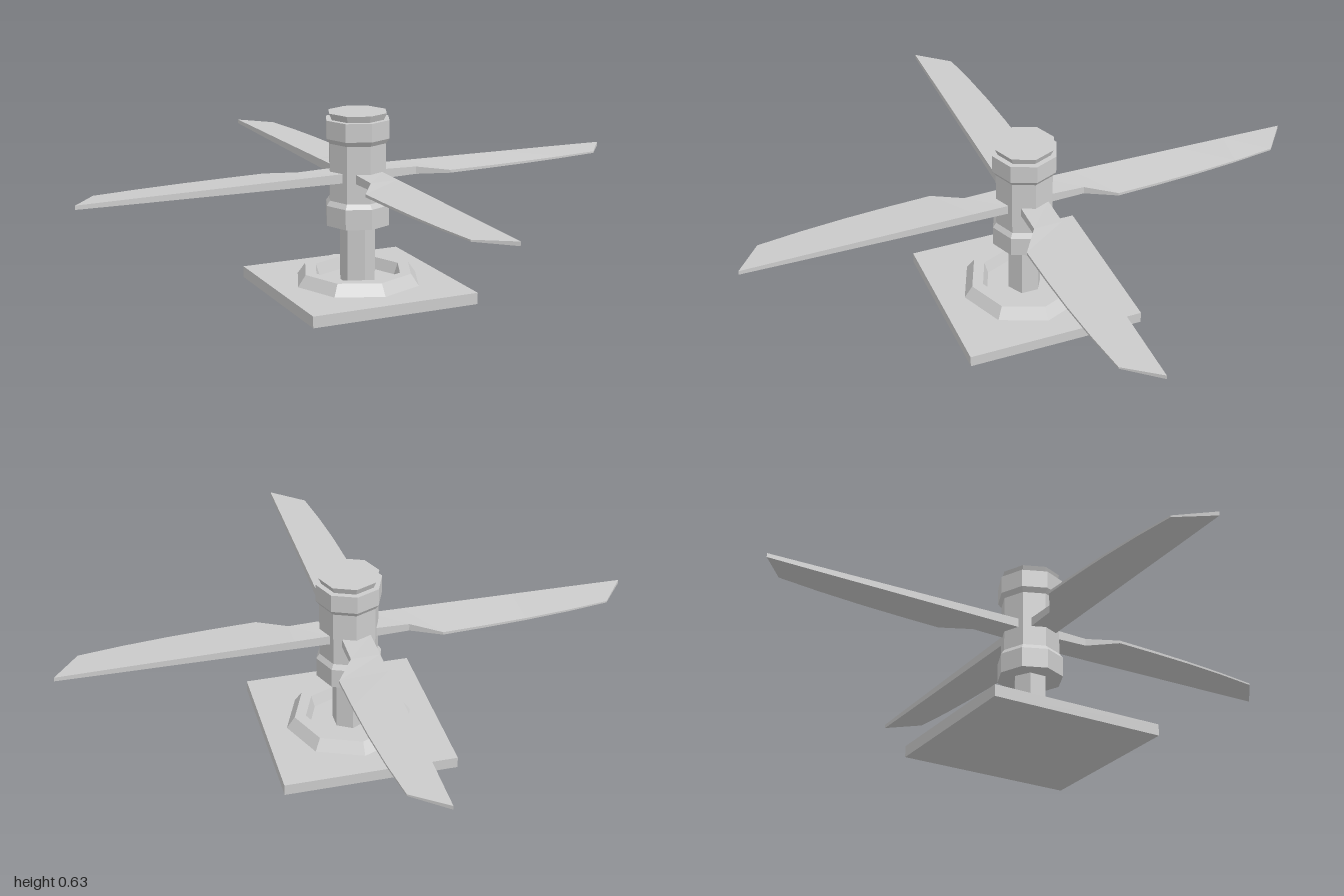
import * as THREE from 'three';

const material = new THREE.MeshStandardMaterial({ color: 0xcccccc, flatShading: true });

function part(name, geometry, y = 0) {
  const mesh = new THREE.Mesh(geometry, material);
  mesh.name = name;
  mesh.position.y = y;
  return mesh;
}

// Faceted solid of revolution from [radius, height] pairs, bottom to top
function turned(profile, sides) {
  return new THREE.LatheGeometry(profile.map(([r, y]) => new THREE.Vector2(r, y)), sides);
}

// Blade along +x: thick straight edge at the back, thin curved edge in front.
// Each station: [x back, z back, thickness back, x front, z front, thickness front]
function bladeGeometry() {
  const stations = [
    [0.08, -0.055, 0.032, 0.08, 0.045, 0.032],
    [0.2, -0.055, 0.03, 0.2, 0.045, 0.026],
    [0.3, -0.055, 0.028, 0.3, 0.11, 0.01],
    [0.45, -0.055, 0.025, 0.45, 0.104, 0.009],
    [0.6, -0.055, 0.022, 0.6, 0.095, 0.008],
    [0.78, -0.055, 0.019, 0.76, 0.08, 0.007],
    [1.0, -0.055, 0.014, 0.91, 0.06, 0.006],
  ];
  const positions = [];
  const index = [];
  stations.forEach(([xb, zb, tb, xf, zf, tf]) => {
    positions.push(xb, tb / 2, zb, xf, tf / 2, zf, xf, -tf / 2, zf, xb, -tb / 2, zb);
  });
  const quad = (a, b, c, d) => index.push(a, b, c, a, c, d);
  for (let i = 0; i < stations.length - 1; i++) {
    for (let k = 0; k < 4; k++) {
      const n = (k + 1) % 4;
      quad(i * 4 + k, i * 4 + n, i * 4 + 4 + n, i * 4 + 4 + k);
    }
  }
  const last = (stations.length - 1) * 4;
  quad(3, 2, 1, 0);
  quad(last, last + 1, last + 2, last + 3);
  const geometry = new THREE.BufferGeometry();
  geometry.setAttribute('position', new THREE.Float32BufferAttribute(positions, 3));
  geometry.setIndex(index);
  const flat = geometry.toNonIndexed();
  flat.computeVertexNormals();
  return flat;
}

export function createModel() {
  const model = new THREE.Group();
  model.name = 'rotor';

  // Mounting plate, raised ring and post
  model.add(part('basePlate', new THREE.BoxGeometry(0.605, 0.04, 0.625), 0.02));
  model.add(part('baseRing', turned([[0.225, 0.038], [0.195, 0.08], [0.155, 0.08], [0.14, 0.038]], 8)));
  model.add(part('post', new THREE.CylinderGeometry(0.06, 0.06, 0.23, 6), 0.145));

  // Octagonal hub with a collar at each end and a flared cap
  model.add(part('hub', turned([
    [0, 0.245], [0.115, 0.245], [0.115, 0.315], [0.103, 0.332], [0.103, 0.53],
    [0.115, 0.547], [0.115, 0.61], [0.095, 0.61], [0.105, 0.633], [0, 0.633],
  ], 8)));

  // Four blades around the hub
  const blades = new THREE.Group();
  blades.name = 'blades';
  const geometry = bladeGeometry();
  for (let i = 0; i < 4; i++) {
    const blade = part('blade', geometry, 0.418);
    blade.rotation.y = (-i * Math.PI) / 2;
    blades.add(blade);
  }
  model.add(blades);
  return model;
}
